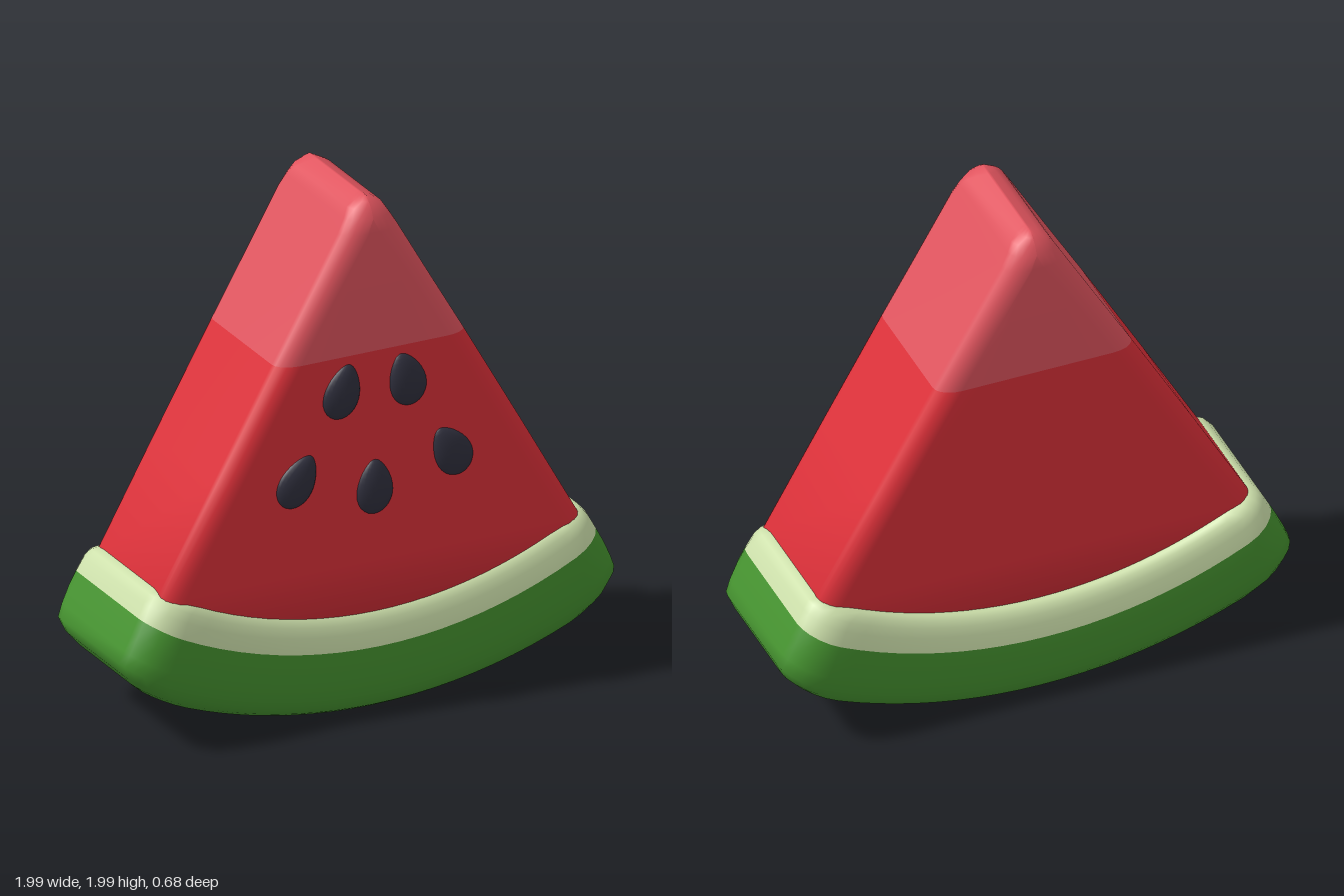
import * as THREE from 'three';

const mat = (name, color, side = THREE.FrontSide) => {
  const m = new THREE.MeshStandardMaterial({ color, side });
  m.name = name;
  return m;
};

// Rounded-rectangle ring, front half left to right, then back half right to left.
function ring(w, d, rx, rz, steps) {
  const half = [];
  const cx = Math.max(w - rx, 0), ax = Math.min(rx, w);
  const corner = 5;
  for (let i = 0; i <= corner; i++) {
    const t = (i / corner) * Math.PI / 2;
    half.push([-cx - ax * Math.cos(t), d - rz + rz * Math.sin(t)]);
  }
  for (let i = 1; i < steps; i++) half.push([-cx + (2 * cx * i) / steps, d]);
  for (let i = corner; i >= 0; i--) {
    const t = (i / corner) * Math.PI / 2;
    half.push([cx + ax * Math.cos(t), d - rz + rz * Math.sin(t)]);
  }
  return half.concat(half.slice().reverse().map(([x, z]) => [x, -z]));
}

// Lofts rows [level, halfWidth, halfDepth] from bottom to top; place() maps them to space.
function loft(rows, { rx, rz, steps, place, capBottom, capTop }) {
  const pos = [], idx = [];
  let n = 0;
  for (const [level, w, d] of rows) {
    const pts = ring(w, d, rx, rz, steps);
    n = pts.length;
    for (const [x, z] of pts) pos.push(...place(level, x, z));
  }
  for (let j = 0; j < rows.length - 1; j++) {
    for (let i = 0; i < n; i++) {
      const a = j * n + i, b = j * n + ((i + 1) % n);
      idx.push(a, b, b + n, a, b + n, a + n);
    }
  }
  const top = (rows.length - 1) * n;
  for (let i = 0; i < n / 2 - 1; i++) {
    const m = n - 1 - i;
    if (capBottom) idx.push(i, m, m - 1, i, m - 1, i + 1);
    if (capTop) idx.push(top + i, top + m - 1, top + m, top + i, top + i + 1, top + m - 1);
  }
  const g = new THREE.BufferGeometry();
  g.setAttribute('position', new THREE.Float32BufferAttribute(pos, 3));
  g.setIndex(idx);
  g.computeVertexNormals();
  return g;
}

// Teardrop seed: a flattened sphere that narrows toward its upper end.
function seedGeometry() {
  const g = new THREE.SphereGeometry(1, 24, 16);
  const p = g.attributes.position;
  for (let i = 0; i < p.count; i++) {
    const y = p.getY(i);
    const taper = 1 - 0.24 * y - 0.08 * y * y;
    p.setXYZ(i, p.getX(i) * 0.073 * taper, y * 0.108, p.getZ(i) * 0.034);
  }
  g.computeVertexNormals();
  return g;
}

export function createModel() {
  const group = new THREE.Group();
  group.name = 'watermelonSlice';
  const red = mat('fleshRed', 0xdc3039);
  const pink = mat('tipPink', 0xe0545e);
  const pale = mat('paleGreen', 0xcde0ab);
  const green = mat('rindGreen', 0x45922f);
  const dark = mat('seedDark', 0x30303e);

  const add = (name, geometry, material) => {
    const mesh = new THREE.Mesh(geometry, material);
    mesh.name = name;
    group.add(mesh);
    return mesh;
  };

  // Flesh wedge, with its paler tip
  const flesh = { rx: 0.09, rz: 0.06, steps: 8, place: (y, x, z) => [x, y, z + 0.0125] };
  add('flesh', loft([
    [0.32, 0.82, 0.2875], [0.59, 0.85, 0.2875], [1.0, 0.619, 0.2875], [1.41, 0.385, 0.2875],
  ], { ...flesh, capBottom: true }), red);
  add('fleshTip', loft([
    [1.41, 0.385, 0.2875], [1.65, 0.245, 0.2875], [1.87, 0.118, 0.2875], [1.92, 0.089, 0.277],
    [1.955, 0.068, 0.26], [1.975, 0.036, 0.24], [1.99, 0.004, 0.218],
  ], { ...flesh, capTop: true }), pink);

  // Rind: rows of [radius, half angle in degrees, half depth] around the apex
  const centerY = 2.07;
  const rad = Math.PI / 180;
  const rind = {
    rx: 4.5, rz: 0.11, steps: 20,
    place: (r, a, z) => [r * Math.sin(a * rad), centerY - r * Math.cos(a * rad), z],
  };
  add('rind', loft([
    [2.065, 24.3, 0.22], [2.057, 25.6, 0.27], [2.04, 27.2, 0.3], [2.015, 28.9, 0.32],
    [1.98, 30.2, 0.333], [1.93, 30.4, 0.34], [1.86, 30.6, 0.342], [1.8, 30.7, 0.338],
  ], { ...rind, capBottom: true }), green);
  add('innerRind', loft([
    [1.8, 30.7, 0.338], [1.74, 30.8, 0.33], [1.705, 30.6, 0.32], [1.682, 29.9, 0.307],
    [1.67, 28.9, 0.29], [1.665, 27.8, 0.26],
  ], { ...rind, capTop: true }), pale);

  // Seeds on the front face, tips leaning toward the middle
  const seed = seedGeometry();
  const seeds = [[0, 0.88, 0], [0.13, 1.275, 15], [-0.13, 1.275, -15], [0.31, 0.96, 30], [-0.31, 0.96, -30]];
  seeds.forEach(([x, y, lean], i) => {
    const mesh = add(`seed${i + 1}`, seed, dark);
    mesh.position.set(x, y, 0.293);
    mesh.rotation.z = lean * rad;
  });
  return group;
}
